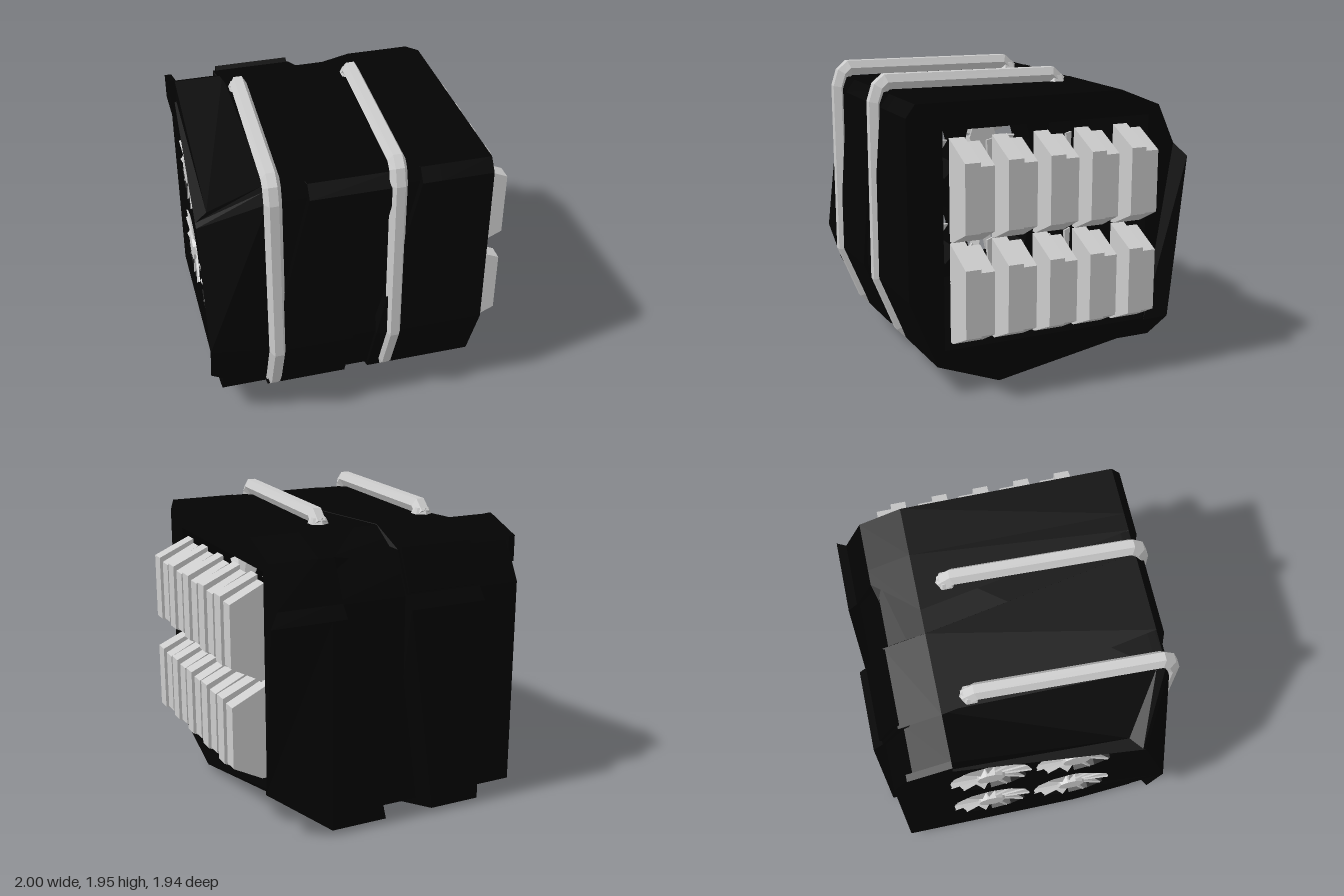
import * as THREE from 'three';
import { ConvexGeometry } from 'three/addons/geometries/ConvexGeometry.js';

const mat = (color) => new THREE.MeshStandardMaterial({ color, flatShading: true, side: THREE.DoubleSide });
const black = mat(0x030303), grey = mat(0xcccccc);

function add(parent, name, geometry, material) {
  const mesh = new THREE.Mesh(geometry, material);
  mesh.name = name;
  parent.add(mesh);
  return mesh;
}

// Side profiles as [z, y]; the first two match point for point
const BASE = [[0.82, 1.847], [0.88, 1.847], [0.91, 1.77], [0.91, 0.64], [0.825, 0.43], [0.797, 0.36], [0.74, 0.22],
  [0.33, 0.09], [-0.885, 0.09], [-0.885, 1.47], [-0.75, 1.72], [-0.51, 1.847]];
const LEFT_END = [[0.6, 1.553], [0.67, 1.54], [0.69, 1.51], [0.91, 0.7], ...BASE.slice(4)];
const BAND = [[0.88, 1.85], [0.94, 1.77], [0.94, 0.64], [0.76, 0.2], [0.34, 0.04], [-0.72, 0.04],
  [-0.97, 0.04], [-0.97, 1.4], [-0.905, 1.48], [-0.785, 1.74], [-0.51, 1.85]];
const PLATE = [[-0.76, 1.74], [-0.81, 1.76], [-0.92, 1.5], [-0.87, 1.47]];
const FLANGE = [[-0.51, 1.85], [-0.79, 1.75], [-0.79, 1.58], [-0.52, 1.58]];
const WINDOW = [[0.71, 0.3], [0.71, 1.68], [-0.71, 1.68], [-0.71, 0.3]];
const ROWS = [0.65, 1.3];
const FAN_Z = [-0.28, 0.28];
const HOLES = ROWS.flatMap((y) => FAN_Z.map((z) => Array.from({ length: 12 }, (_, i) => {
  const a = (i / 12) * Math.PI * 2;
  return [z + 0.27 * Math.cos(a), y - 0.015 + 0.27 * Math.sin(a)];
})));

// Extrude a [z, y] outline along x, from x0 to x1
function slab(outline, holes, x0, x1) {
  const v = (pts) => pts.map(([z, y]) => new THREE.Vector2(-z, y));
  const shape = new THREE.Shape(v(outline));
  holes.forEach((h) => shape.holes.push(new THREE.Path(v(h))));
  return new THREE.ExtrudeGeometry(shape, { depth: x1 - x0, bevelEnabled: false })
    .rotateY(Math.PI / 2).translate(x0, 0, 0);
}

// Move every vertex by a rule
function warp(geometry, rule) {
  const p = geometry.attributes.position, v = new THREE.Vector3();
  for (let i = 0; i < p.count; i++) {
    rule(v.fromBufferAttribute(p, i));
    p.setXYZ(i, v.x, v.y, v.z);
  }
  geometry.computeVertexNormals();
  return geometry;
}

// Six-sided bar swept with mitred corners along points [x, y, z] in a side plane
function bar(path) {
  const section = [0, 1, 2, 3, 4, 5].map((i) => [0.055 * Math.cos(i * Math.PI / 3), 0.055 * Math.sin(i * Math.PI / 3)]);
  const pos = [], index = [];
  const last = path.length - 1;
  const normal = (a, b) => new THREE.Vector2(-(b[1] - a[1]), b[2] - a[2]).normalize();
  path.forEach((p, k) => {
    const before = Math.max(k - 1, 0), after = Math.min(k, last - 1);
    const n0 = normal(path[before], path[before + 1]);
    const n = n0.clone().add(normal(path[after], path[after + 1])).normalize();
    n.divideScalar(n.dot(n0));
    section.forEach(([u, w]) => pos.push(p[0] + u, p[1] + w * n.y, p[2] + w * n.x));
    if (k) {
      for (let i = 0; i < 6; i++) {
        const a = (k - 1) * 6 + i, b = (k - 1) * 6 + (i + 1) % 6;
        index.push(a, a + 6, b, b, a + 6, b + 6);
      }
    }
  });
  const e = last * 6;
  for (let i = 1; i < 5; i++) index.push(0, i, i + 1, e, e + i + 1, e + i);
  const g = new THREE.BufferGeometry();
  g.setAttribute('position', new THREE.Float32BufferAttribute(pos, 3));
  g.setIndex(index);
  const flat = g.toNonIndexed();
  flat.computeVertexNormals();
  return flat;
}

function createFan() {
  const fan = new THREE.Group();
  fan.name = 'fan';
  add(fan, 'fanHub', new THREE.CylinderGeometry(0.09, 0.11, 0.07, 10).rotateZ(Math.PI / 2), grey);
  const count = 11;
  for (let i = 0; i < count; i++) {
    const g = new THREE.BoxGeometry(0.012, 0.19, 0.085);
    warp(g, (v) => { if (v.y < 0) v.z *= 0.55; });
    g.rotateY(0.65).translate(0, 0.17, 0).rotateX((i / count) * Math.PI * 2);
    add(fan, 'fanBlade', g, grey);
  }
  return fan;
}

export function createModel() {
  const model = new THREE.Group();

  // Hollow casing, open on the +x side
  const casing = new THREE.Group();
  casing.name = 'casing';
  model.add(casing);
  add(casing, 'casingShell', slab(BASE, [WINDOW], -0.6, 0.43), black);

  // Left wall with four fan holes, its front corner cut back
  const wall = warp(slab(LEFT_END, HOLES, -0.92, -0.6), (v) => {
    if (v.x > -0.7) {
      const i = LEFT_END.findIndex(([z, y]) => Math.hypot(z - v.z, y - v.y) < 1e-4);
      if (i >= 0) [v.z, v.y] = BASE[i];
    } else if (v.z > 0.65 && v.y > 0.4) v.x = -1;
  });
  add(casing, 'fanWall', wall, black);

  // Raised bands around the casing, slanting across the front and back
  const leftBand = warp(slab(BAND, [WINDOW], -0.62, -0.09), (v) => {
    if (v.z > 0.8 && v.y > 1) v.x += 0.26;
    if (v.z < -0.8 && v.y < 0.5 && v.x > -0.3) v.x -= 0.18;
  });
  add(casing, 'leftBand', leftBand, black);
  const rightBand = warp(slab(BAND, [WINDOW], 0.07, 0.45), (v) => {
    if (v.x < 0.3 && v.y > 1) {
      if (v.z > 0.8) v.x += 0.26;
      if (v.z < -0.75) v.x += 0.28;
    }
  });
  add(casing, 'rightBand', rightBand, black);

  // Right end around the fins, its lower back corner cut away
  const rightEnd = warp(slab(BAND, [WINDOW], 0.45, 0.78), (v) => {
    if (v.x < 0.7) return;
    if (v.z < -0.95) {
      v.x = 0.85;
      if (v.y < 0.5) {
        v.y = 0.32;
        v.z = -0.86;
      }
    } else if (v.z < -0.715 && v.y < 0.1) v.y = 0.285;
  });
  add(casing, 'rightEnd', rightEnd, black);

  // Plate on the upper back slope and flange at the upper back left
  add(casing, 'backPlate', slab(PLATE, [], -0.6, -0.1), black);
  const flange = FLANGE.flatMap(([z, y]) => [-0.955, -0.91].map((x) => new THREE.Vector3(x, y, z)));
  add(casing, 'cornerFlange', new ConvexGeometry(flange), black);

  // Fans set into the left wall, and a second set behind the fins
  for (const y of ROWS) {
    for (const z of FAN_Z) {
      for (const x of [-0.895, 0.5]) {
        const fan = createFan();
        fan.position.set(x, y - 0.015, z);
        model.add(fan);
      }
    }
  }

  // Two rows of paired cooling fins in the open side
  const finShape = (top, reach) => new THREE.Shape([[0.755, -0.31], [0.79, -0.31], [reach, -0.21],
    [reach, top - 0.11], [0.755, top]].map((p) => new THREE.Vector2(...p)));
  const fins = new THREE.Group();
  fins.name = 'coolingFins';
  model.add(fins);
  for (const y of ROWS) {
    for (let i = 0; i < 5; i++) {
      [[0.33, 1, 0.56], [0.3, 0.98, 0.46]].forEach(([top, reach, z]) => {
        const g = new THREE.ExtrudeGeometry(finShape(top, reach), { depth: 0.1, bevelEnabled: false });
        add(fins, 'coolingFin', g, grey).position.set(0, y, z - i * 0.281);
      });
    }
  }

  // Two bars wrapping the top, front and underside
  const RAIL = [[-0.345, 1.84], [-0.28, 1.897], [0.85, 1.907], [0.893, 1.87], [0.922, 1.78], [0.922, 0.64],
    [0.78, 0.29], [0.71, 0.215], [0.35, 0.055], [-0.01, 0.055], [-0.05, 0.09]];
  for (const x of [-0.575, 0.185]) {
    const path = RAIL.map(([z, y]) => [x + (y > 1.7 ? 0.045 * (0.92 - z) / 1.29 : 0), y, z]);
    add(model, 'wrapBar', bar(path), grey);
    // Foot at the back end of the bar
    const foot = new THREE.CylinderGeometry(0.05, 0.072, 0.05, 6);
    add(model, 'barFoot', foot, grey).position.set(x + 0.045, 1.865, -0.32);
  }
  return model;
}
